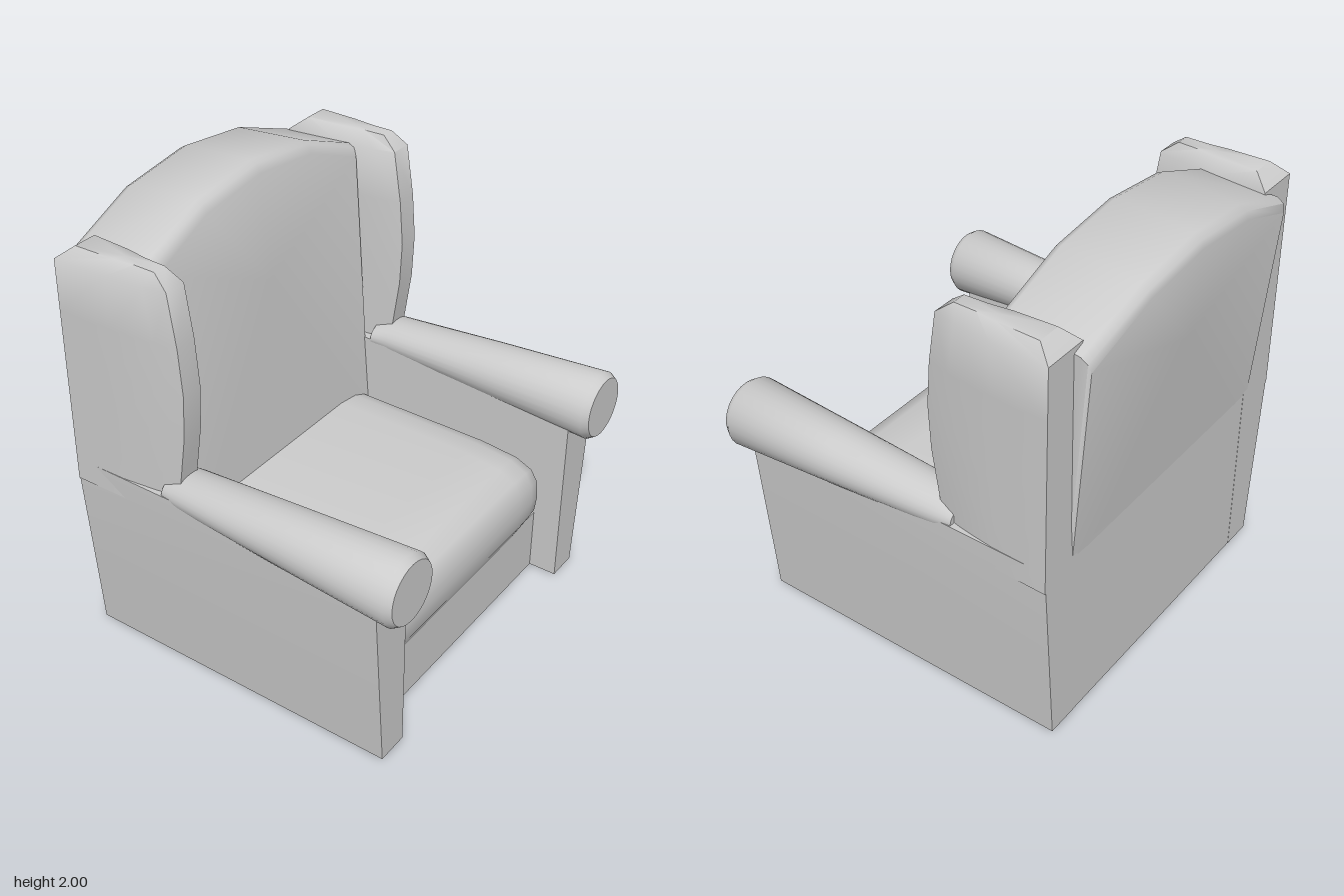
import * as THREE from 'three';
import { toCreasedNormals } from 'three/addons/utils/BufferGeometryUtils.js';

const material = new THREE.MeshStandardMaterial({ color: 0xcccccc });

// Closed solid through equal-length rings of [x, y, z], capped at both ends
function loft(name, rings, crease = 0.85) {
  const n = rings[0].length;
  const pts = rings.flat();
  const tris = [];
  for (let i = 0; i < rings.length - 1; i++) {
    for (let j = 0; j < n; j++) {
      const a = i * n + j, b = i * n + (j + 1) % n;
      tris.push([a, b, b + n], [a, b + n, a + n]);
    }
  }
  const cap = (ring, start, flip) => {
    const c = pts.length;
    pts.push([0, 1, 2].map(k => ring.reduce((s, p) => s + p[k], 0) / n));
    for (let j = 0; j < n; j++) {
      const a = start + j, b = start + (j + 1) % n;
      tris.push(flip ? [c, b, a] : [c, a, b]);
    }
  };
  cap(rings[0], 0, true);
  cap(rings[rings.length - 1], (rings.length - 1) * n, false);

  // Turn the faces outward whatever the ring direction or mirroring
  const v = pts.map(p => new THREE.Vector3(...p));
  const volume = tris.reduce((s, [a, b, c]) => s + v[a].dot(v[b].clone().cross(v[c])), 0);
  if (volume < 0) tris.forEach(t => t.reverse());

  const geo = new THREE.BufferGeometry().setFromPoints(v);
  geo.setIndex(tris.flat());
  const mesh = new THREE.Mesh(toCreasedNormals(geo, crease), material);
  mesh.name = name;
  return mesh;
}

function box(name, w, h, d, x, y, z) {
  const mesh = new THREE.Mesh(new THREE.BoxGeometry(w, h, d), material);
  mesh.name = name;
  mesh.position.set(x, y, z);
  return mesh;
}

// Side panel, leaning outward up to the arm
function sidePanel(s) {
  const rows = [[0, 0.775], [0.4, 0.805], [0.8, 0.835], [0.9, 0.838]];
  return loft('sidePanel', rows.map(([y, out]) => [
    [s * 0.63, y, -0.75], [s * out, y, -0.75], [s * out, y, 0.74], [s * 0.63, y, 0.74],
  ]));
}

// Wing beside the back, narrowing to the front with a bevelled top
function wing(s) {
  const rows = [ // y, front z, rear z, inset of the sides
    [0.8, -0.25, -0.75, 0], [1.0, -0.22, -0.75, 0], [1.2, -0.19, -0.75, 0],
    [1.4, -0.18, -0.75, 0], [1.6, -0.195, -0.75, 0], [1.83, -0.23, -0.75, 0],
    [1.885, -0.3, -0.68, 0.05],
  ];
  return loft('wing', rows.map(([y, f, r, i]) => [
    [s * (0.635 + i), y, r], [s * (0.84 - i), y, r],
    [s * (0.835 - i), y, -0.5], [s * (0.815 - i * 0.8), y, f - 0.1],
    [s * (0.795 - i * 0.4), y, f], [s * (0.695 + i * 0.4), y, f],
    [s * (0.67 + i * 0.8), y, f - 0.1], [s * (0.645 + i), y, -0.5],
  ]));
}

// Tapered round arm roll
function arm(s) {
  const rows = [ // z, centre x, x radius, y radius
    [0.84, 0.747, 0.135, 0.135], [0.81, 0.747, 0.154, 0.154],
    [0.3, 0.742, 0.132, 0.121], [-0.22, 0.735, 0.107, 0.082], [-0.3, 0.73, 0.103, 0.06],
  ];
  return loft('arm', rows.map(([z, x, rx, ry]) => Array.from({ length: 28 }, (_, k) => {
    const a = k / 28 * Math.PI * 2;
    return [s * (x + rx * Math.cos(a)), 0.902 + ry * Math.sin(a), z];
  })));
}

// Padded back: arched outline swept from the sloping front to the sloping rear
function backPad() {
  const frontZ = y => -0.315 - 0.075 * (y - 0.65);
  const rearZ = (y, x) => -0.75 - 0.078 * (y - 0.75) + 0.02 * x * x;
  const rows = [ // half width, drop of the top, bottom y, z rule
    [0.65, 0.05, 0.5, y => frontZ(y)],
    [0.66, 0.012, 0.5, y => frontZ(y) - 0.015],
    [0.665, 0, 0.5, y => frontZ(y) - 0.04],
    [0.69, 0.03, 0.72, (y, x) => rearZ(y, x) + 0.045],
    [0.69, 0.05, 0.72, (y, x) => rearZ(y, x) + 0.012],
    [0.68, 0.085, 0.72, rearZ],
  ];
  return loft('backPad', rows.map(([w, d, y0, z]) => [
    [-w + 0.02, y0], [w - 0.02, y0], [w, 1.83 - d], [0.34, 1.96 - d],
    [0, 2 - d], [-0.34, 1.96 - d], [-w, 1.83 - d],
  ].map(([x, y]) => [x, y, z(y, x)])));
}

// Seat cushion: rounded side profile, softened towards both ends
function cushion() {
  const profile = [ // z, y
    [-0.65, 0.285], [0.61, 0.285], [0.64, 0.35], [0.65, 0.44], [0.642, 0.53],
    [0.61, 0.59], [0.53, 0.63], [0.35, 0.65], [-0.65, 0.655],
  ];
  const ends = [[0.62, 0.065, 0.03], [0.6, 0.045, 0.015], [0.53, 0.015, 0.005], [0.42, 0, 0]];
  const stations = [...ends.map(([x, d, f]) => [-x, d, f]), ...ends.reverse()];
  return loft('seatCushion', stations.map(([x, drop, back]) => profile.map(([z, y]) => [
    x, y - drop * Math.max(0, (y - 0.285) / 0.37), z > 0 ? z - back : z,
  ])));
}

export function createModel() {
  const group = new THREE.Group();
  group.name = 'wingArmchair';
  for (const s of [1, -1]) {
    const side = new THREE.Group();
    side.name = s > 0 ? 'leftSide' : 'rightSide';
    side.add(sidePanel(s), wing(s), arm(s));
    group.add(side);
  }
  group.add(backPad(), cushion());
  // Hollow base: thin front rail and rear panel
  group.add(box('frontRail', 1.28, 0.3, 0.03, 0, 0.15, 0.595));
  group.add(box('rearPanel', 1.28, 0.9, 0.1, 0, 0.45, -0.699));
  return group;
}
